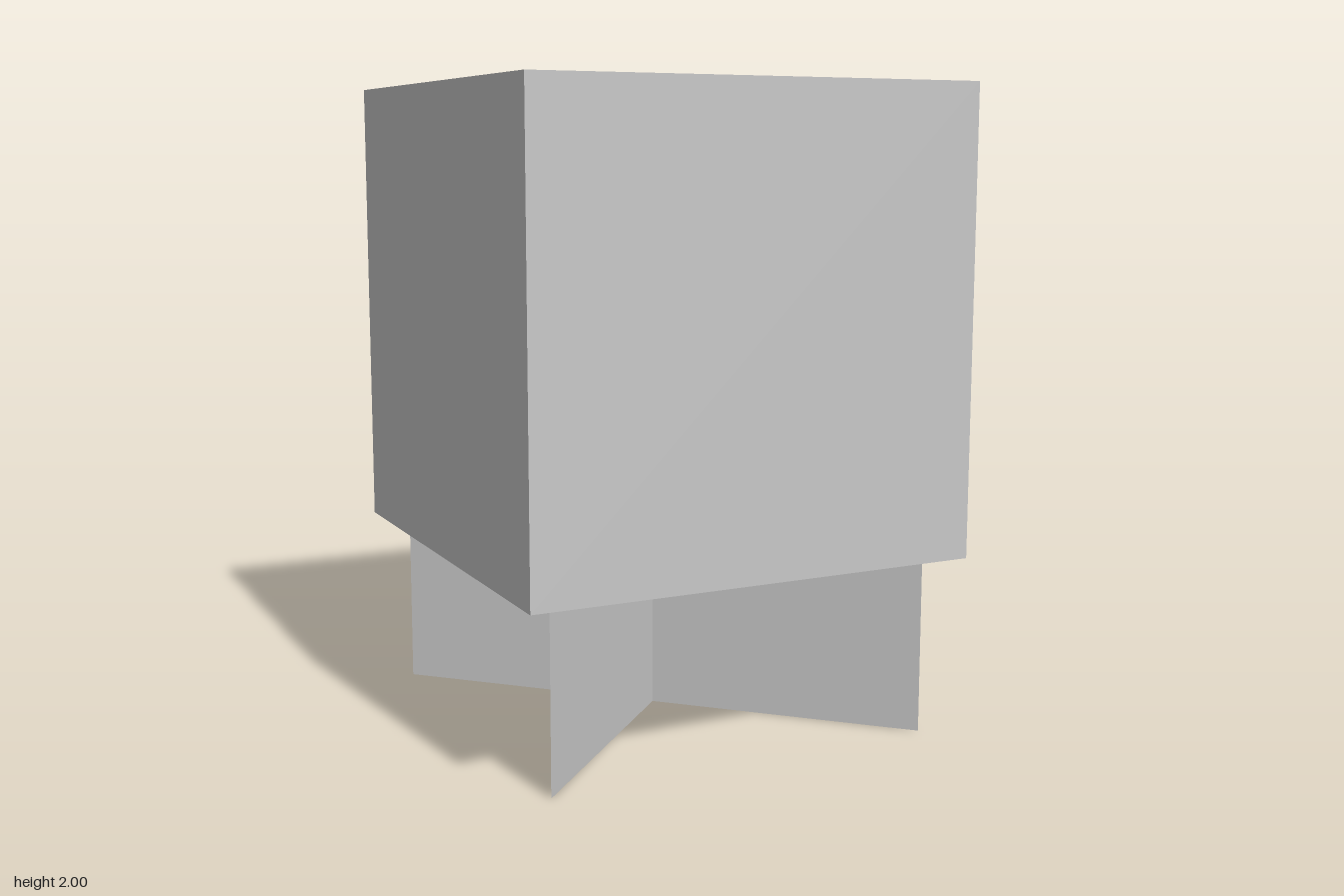
import * as THREE from 'three';

export function createModel() {
  const model = new THREE.Group();
  model.name = 'blockOnCrossedPanels';

  const blockGrey = new THREE.MeshStandardMaterial({ color: 0xc8c8c8 });
  blockGrey.name = 'light grey';
  blockGrey.side = THREE.DoubleSide;

  const size = 1.434;       // cube edge
  const baseHeight = 0.566; // height of the crossed panels
  const reach = 0.622;      // panel end offset along x and z

  // Large cube on top
  const block = new THREE.Mesh(new THREE.BoxGeometry(size, size, size), blockGrey);
  block.name = 'block';
  block.position.y = baseHeight + size / 2;
  model.add(block);

  // Two thin panels crossing on the diagonals
  const panelGeometry = new THREE.PlaneGeometry(2 * reach * Math.SQRT2, baseHeight);
  for (const side of [1, -1]) {
    const panel = new THREE.Mesh(panelGeometry, blockGrey);
    panel.name = side > 0 ? 'crossPanelA' : 'crossPanelB';
    panel.position.y = baseHeight / 2;
    panel.rotation.y = side * Math.PI / 4;
    model.add(panel);
  }

  return model;
}
